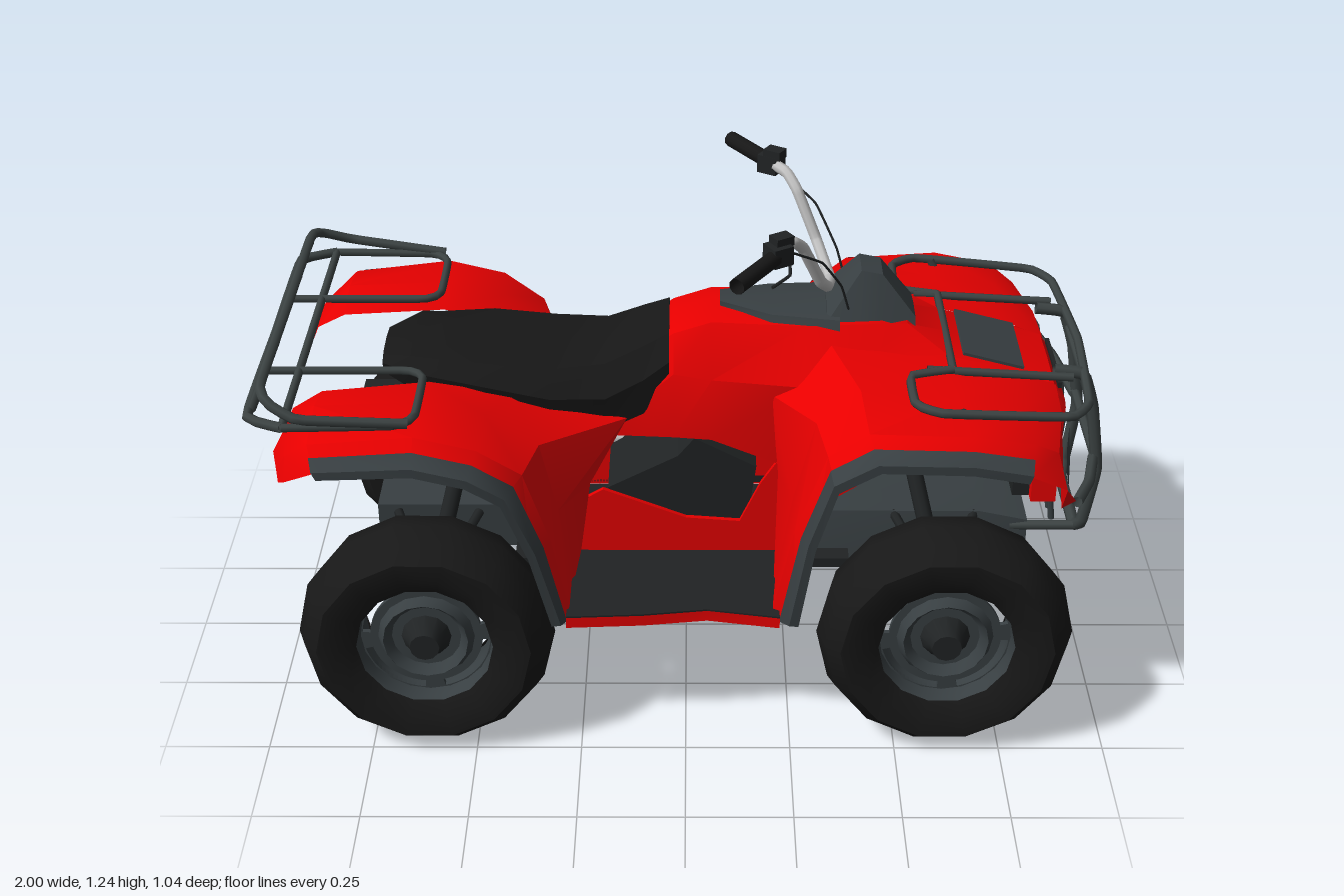
import * as THREE from 'three';
import { toCreasedNormals } from 'three/addons/utils/BufferGeometryUtils.js';

const mat = (name, color) => new THREE.MeshStandardMaterial({ name, color, side: THREE.DoubleSide });

export function createModel() {
  const red = mat('red plastic', 0xff0000), tyreMat = mat('tyre rubber', 0x181818);
  const black = mat('seat black', 0x171717), grey = mat('dark grey plastic', 0x383f42);
  const steel = mat('rack grey', 0x3c4343), silver = mat('handlebar silver', 0xc2c2c2);
  const dark = mat('chassis dark', 0x202324);
  const model = new THREE.Group();
  model.name = 'quadBike';

  const add = (name, geo, m, parent = model) => {
    const mesh = new THREE.Mesh(geo, m);
    mesh.name = name;
    parent.add(mesh);
    return mesh;
  };
  const box = (name, x0, x1, y0, y1, z0, z1, m, parent) => {
    const b = add(name, new THREE.BoxGeometry(x1 - x0, y1 - y0, z1 - z0), m, parent);
    b.position.set((x0 + x1) / 2, (y0 + y1) / 2, (z0 + z1) / 2);
    return b;
  };
  const tube = (name, pts, r, m, parent, sides = 7) => {
    const v = pts.map(p => new THREE.Vector3(...p));
    const curve = v.length > 2 ? new THREE.CatmullRomCurve3(v, false, 'catmullrom', 0.15) : new THREE.LineCurve3(...v);
    return add(name, new THREE.TubeGeometry(curve, v.length > 2 ? v.length * 6 : 1, r, sides), m, parent);
  };
  // Half path ending on the centre line, continued on the other side
  const flip = p => [p[0], p[1], -p[2]];
  const hoop = (name, pts, r, m) => tube(name, [...pts, ...pts.slice().reverse().filter(p => p[2]).map(flip)], r, m);
  const polygon = pts => new THREE.Shape(pts.map(p => new THREE.Vector2(...p)));
  const slab = (shape, depth) => new THREE.ExtrudeGeometry(shape, { depth, bevelEnabled: false, curveSegments: 8 });

  // Skin over cross-sections, optionally as a closed, capped hull
  const loft = (rings, closed) => {
    const n = rings[0].length, idx = [], w = closed ? n : n - 1;
    for (let i = 0; i < rings.length - 1; i++) for (let j = 0; j < w; j++) {
      const a = i * n + j, b = i * n + (j + 1) % n;
      idx.push(a, b, a + n, b, b + n, a + n);
    }
    if (closed) for (let j = 1; j < n - 1; j++) {
      const e = (rings.length - 1) * n;
      idx.push(0, j + 1, j, e, e + j, e + j + 1);
    }
    const g = new THREE.BufferGeometry();
    g.setAttribute('position', new THREE.Float32BufferAttribute(rings.flat(2), 3));
    g.setIndex(idx);
    return toCreasedNormals(g, 0.55);
  };
  // Symmetric hull: each section is [x, [z, y], ...] from the top centre down to the bottom edge
  const hull = secs => loft(secs.map(([x, ...half]) => [
    ...half.map(([z, y]) => [x, y, z]),
    ...half.slice(1).reverse().map(([z, y]) => [x, y, -z])]), true);

  // Central body and seat
  add('centreBody', hull([
    [-.25, [0, .74], [.09, .73], [.15, .71], [.15, .67]],
    [-.1, [0, .87], [.09, .86], [.15, .77], [.16, .67]],
    [-.03, [0, .927], [.09, .91], [.145, .83], [.165, .67]],
    [.06, [0, .96], [.09, .94], [.155, .82], [.16, .66]],
    [.28, [0, .955], [.1, .935], [.19, .82], [.18, .58]],
    [.4, [0, .955], [.1, .94], [.165, .85], [.17, .6]],
    [.52, [0, .945], [.085, .935], [.15, .86], [.16, .74]],
    [.62, [0, .87], [.12, .865], [.15, .85], [.15, .79]],
    [.78, [0, .83], [.12, .825], [.14, .82], [.14, .76]],
    [.87, [0, .8], [.12, .795], [.14, .78], [.14, .59]],
    [.9, [0, .75], [.12, .75], [.14, .74], [.12, .56]]]), red);
  add('seat', hull([
    [-.72, [0, .85], [.06, .845], [.09, .83], [.08, .8]],
    [-.65, [0, .87], [.11, .86], [.155, .84], [.14, .79]],
    [-.47, [0, .86], [.14, .855], [.19, .82], [.18, .77]],
    [-.32, [0, .845], [.14, .84], [.195, .79], [.18, .71]],
    [-.19, [0, .85], [.12, .845], [.175, .78], [.165, .69]],
    [-.1, [0, .895], [.105, .885], [.155, .82], [.155, .73]],
    [-.04, [0, .925], [.09, .912], [.14, .86], [.14, .82]]]), black);

  // Dash and steering pod
  add('dashPanel', hull([
    [.08, [0, .968], [.03, .965], [.03, .94]],
    [.2, [0, .968], [.08, .955], [.09, .935]],
    [.36, [0, .968], [.1, .95], [.11, .925]]]), grey);
  add('steeringPod', hull([
    [.33, [0, .975], [.06, .97], [.09, .94]],
    [.41, [0, 1.055], [.045, 1.053], [.095, .945]],
    [.46, [0, 1.045], [.045, 1.043], [.09, .945]],
    [.54, [0, .945], [.06, .94], [.08, .915]]]), grey);
  const hoodPlate = box('hoodPlate', .65, .8, .845, .852, -.11, .11, grey);
  hoodPlate.rotation.z = -.26;

  // Fenders: each section runs inner edge, crown, shoulder, outer lip
  const frontFender = [
    [[.22, .33, .18], [.21, .33, .3], [.2, .33, .42], [.25, .33, .45]],
    [[.22, .58, .18], [.25, .58, .3], [.25, .58, .43], [.285, .57, .48]],
    [[.2, .79, .17], [.3, .79, .3], [.32, .78, .43], [.335, .74, .495]],
    [[.34, .9, .13], [.4, .865, .28], [.41, .845, .44], [.43, .8, .505]],
    [[.6, .87, .12], [.62, .86, .3], [.64, .85, .46], [.64, .795, .505]],
    [[.78, .83, .12], [.78, .835, .3], [.78, .825, .45], [.77, .77, .5]],
    [[.875, .79, .12], [.87, .79, .25], [.84, .785, .42], [.86, .71, .46]],
    [[.9, .59, .12], [.89, .61, .25], [.86, .63, .41], [.885, .67, .44]]];
  const rearFender = [
    [[-.26, .33, .18], [-.27, .33, .3], [-.27, .33, .42], [-.3, .33, .45]],
    [[-.23, .55, .18], [-.3, .55, .3], [-.31, .55, .43], [-.35, .54, .47]],
    [[-.14, .72, .16], [-.34, .73, .3], [-.37, .73, .43], [-.41, .7, .49]],
    [[-.4, .79, .17], [-.46, .81, .3], [-.47, .8, .44], [-.49, .755, .5]],
    [[-.6, .83, .18], [-.6, .845, .3], [-.61, .835, .44], [-.61, .785, .5]],
    [[-.85, .81, .19], [-.85, .835, .3], [-.85, .81, .43], [-.83, .77, .49]],
    [[-.92, .77, .2], [-.92, .78, .3], [-.91, .76, .4], [-.91, .71, .43]],
    [[-.95, .7, .2], [-.96, .7, .28], [-.94, .7, .36], [-.93, .69, .4]]];

  // One side of the bike, mirrored for the other
  const side = new THREE.Group();
  side.name = 'leftSide';
  // Trim strip over the outer part of each fender, with a small lip around the edge
  const trim = (f, cx) => loft(f.slice(0, 6).map(([, , c, d]) => {
    const out = new THREE.Vector2(d[0] - cx, d[1] - .29).normalize();
    const at = (t, up, dz) => [c[0] + (d[0] - c[0]) * t + out.x * up, c[1] + (d[1] - c[1]) * t + out.y * up, c[2] + (d[2] - c[2]) * t + dz];
    return [at(.5, .006, .004), at(1, .008, .008), at(1, -.014, .008)];
  }));
  for (const [name, f, cx] of [['frontFender', frontFender, .61], ['rearFender', rearFender, -.61]]) {
    add(name, loft(f), red, side);
    add(name + 'Trim', trim(f, cx), grey, side);
  }

  // Footwell, narrowing at the middle
  const board = [[-.28, .455], [-.1, .445], [.05, .425], [.22, .455]];
  const floor = add('footBoard', slab(polygon([[-.28, .165], ...board, [.22, .165]]), .02), dark, side);
  floor.rotation.x = Math.PI / 2;
  floor.position.y = .355;
  add('footwellEdge', loft(board.map(([x, z]) => [[x, .353, z + .003], [x, .325, z + .003], [x, .325, z - .03]])), red, side);
  const wall = polygon([[-.27, .33], [.22, .33], [.29, .46], [.41, .54], [.38, .63], [.25, .66], [.18, .55], [.13, .44], [0, .45], [-.2, .53], [-.25, .5]]);
  add('footwellWall', slab(wall, .012), red, side).position.z = .165;
  box('rearInnerPanel', -.5, -.27, .49, .54, .11, .13, red, side);
  box('noseFlap', .83, .89, .5, .6, .15, .18, red, side);

  // Headlight plate lying on the nose
  const lamp = [[.245, .66], [.25, .75], [.38, .765], [.4, .72], [.36, .655]]
    .map(([z, y]) => new THREE.Vector3(.886 + (.79 - y) * .12 - Math.max(0, z - .25) * .19, y, z));
  const lampGeo = new THREE.BufferGeometry().setFromPoints(lamp);
  lampGeo.setIndex([0, 2, 1, 0, 3, 2, 0, 4, 3]);
  lampGeo.computeVertexNormals();
  add('headlight', lampGeo, grey, side);

  // Wheels
  const tyreProfile = [[.16, -.075], [.2, -.098], [.25, -.1], [.284, -.06], [.302, .01], [.284, .06], [.25, .1], [.2, .098], [.16, .075]];
  const lathe = (pts, seg) => toCreasedNormals(
    new THREE.LatheGeometry(pts.map(p => new THREE.Vector2(...p)), seg).rotateX(Math.PI / 2).rotateZ(Math.PI / 2), .75);
  const disc = new THREE.Shape().absarc(0, 0, .16, 0, Math.PI * 2);
  for (let i = 0; i < 4; i++) {
    const a = i * Math.PI / 2 + .25, b = a + 1.25;
    const hole = new THREE.Path().absarc(0, 0, .15, a, b, false);
    hole.absarc(0, 0, .132, b, a, true);
    disc.holes.push(hole);
  }
  for (const x of [.61, -.61]) {
    const s = Math.sign(x), wheel = new THREE.Group();
    wheel.name = x > 0 ? 'frontWheel' : 'rearWheel';
    wheel.position.set(x, .296, .418);
    add('tyre', lathe(tyreProfile, 14), tyreMat, wheel);
    add('rimBarrel', lathe([[.172, -.08], [.157, -.06], [.152, 0], [.157, .06], [.172, .08]], 20), grey, wheel);
    add('rimDisc', slab(disc, .012), grey, wheel).position.z = .02;
    add('rimRing', lathe([[.08, .03], [.1, .055], [.115, .03]], 16), grey, wheel);
    add('hub', lathe([[.06, -.1], [.06, .03], [.04, .06], [.035, .08], [0, .08]], 12), dark, wheel);
    side.add(wheel);

    // Suspension arms, axle and shock
    for (const d of [-.1, .1]) {
      tube('lowerArm', [[x + d, .33, .09], [x, .24, .33]], .014, dark, side);
      tube('upperArm', [[x + d, .41, .09], [x, .33, .33]], .012, dark, side);
    }
    tube('axle', [[x, .32, .05], [x, .294, .36]], .018, dark, side);
    tube('shock', [[x - s * .07, .6, .13], [x, .33, .26]], .02, dark, side, 10);
    add('shockMount', slab(polygon([[x - .16, .6], [x - .12, .645], [x + .1, .65], [x + .17, .62], [x + .1, .6]]), .1), grey, side).position.z = .06;
    tube('frameRail', [[x - s * .32, .33, .08], [x - s * .24, .57, .1], [x, .62, .1]], .014, dark, side);
  }

  // Handlebar half with grip, controls and cable
  tube('handlebar', [[.34, 1.01, 0], [.33, 1.02, .06], [.31, 1.06, .115], [.265, 1.165, .155], [.24, 1.197, .19], [.19, 1.197, .27]], .014, silver, side, 8);
  tube('grip', [[.2, 1.195, .26], [.11, 1.193, .4]], .019, black, side, 10);
  box('switchBox', .18, .23, 1.175, 1.22, .225, .275, dark, side).rotation.y = .55;
  box('reservoir', .19, .235, 1.215, 1.237, .22, .255, dark, side).rotation.y = .55;
  tube('brakeLever', [[.23, 1.18, .23], [.23, 1.165, .29], [.19, 1.16, .34]], .004, dark, side, 5);
  tube('cable', [[.24, 1.18, .21], [.31, 1.13, .16], [.36, 1.04, .1], [.38, .97, .08]], .003, dark, side, 5);

  // Rack and bumper pieces on one side
  tube('frontRackRail', [[.56, .87, .19], [.9, .85, .19]], .01, steel, side);
  tube('bumperBrace', [[.975, .61, .15], [.94, .635, .3], [.89, .66, .43]], .013, steel, side);
  tube('bumperFoot', [[.955, .4, .13], [.8, .38, .1]], .012, steel, side);
  tube('rearRackLoop', [[-.98, .86, .18], [-.65, .86, .18], [-.61, .86, .21], [-.61, .86, .39], [-.65, .86, .43], [-.9, .86, .44]], .01, steel, side);
  for (const z of [.17, .36]) tube('rearRackPost', [[-.95, .93, z], [-.98, .86, z]], .01, steel, side);
  tube('frontRackPost', [[.62, .87, .38], [.64, .83, .38]], .01, steel, side);

  const other = side.clone();
  other.name = 'rightSide';
  other.scale.z = -1;
  model.add(side, other);

  // Racks and bumper across the middle
  hoop('frontRack', [[.62, .87, .19], [.52, .87, .22], [.52, .87, .35], [.58, .87, .39], [.87, .85, .37], [.92, .848, .3], [.94, .846, 0]], .011, steel);
  hoop('frontRackBar', [[.62, .87, .19], [.62, .87, 0]], .01, steel);
  hoop('rearRackHoop', [[-.62, .865, .43], [-.86, .89, .455], [-.93, .92, .43], [-.95, .935, .38], [-.95, .935, 0]], .012, steel);
  hoop('rearRackEnd', [[-.9, .86, .44], [-.985, .86, .39], [-.985, .86, 0]], .012, steel);
  hoop('rearRackBar', [[-.9, .86, .44], [-.9, .86, 0]], .01, steel);
  hoop('bumper', [[.86, .85, .155], [.93, .84, .155], [.96, .75, .155], [.985, .58, .155], [.965, .42, .145], [.955, .39, .11], [.955, .39, 0]], .015, steel);
  for (const [x, y] of [[.945, .8], [.978, .615]]) hoop('bumperBar', [[x, y, .155], [x, y, 0]], .012, steel);

  // Nose grille
  add('grille', slab(polygon([[-.125, .71], [.125, .71], [.105, .64], [-.105, .64]]), .009).rotateY(Math.PI / 2), grey).position.x = .898;
  box('hoodSlot', .882, .891, .775, .79, -.11, .11, dark);
  add('grilleBadge', new THREE.CylinderGeometry(.026, .026, .012, 12).rotateZ(Math.PI / 2), dark).position.set(.91, .7, 0);

  // Chassis, engine and running gear
  box('skidPlate', -.42, .4, .3, .325, -.17, .17, dark);
  add('frontChassis', hull([
    [.3, [0, .42], [.1, .42], [.13, .3]], [.72, [0, .42], [.1, .42], [.11, .285]], [.84, [0, .4], [.11, .4], [.11, .33]]]), grey);
  box('rearChassis', -.76, -.38, .31, .43, -.09, .09, grey);
  add('engine', slab(polygon([[-.19, .5], [-.02, .59], [.02, .64], [.17, .56], [.14, .33], [-.2, .33]]), .24), dark).position.z = -.12;
  box('winch', .8, .86, .46, .56, -.09, .09, dark);
  for (const z of [-.1, -.05, .05, .1]) tube('winchPost', [[.9, .4, z], [.88, .56, z]], .008, grey);
  box('rearTray', -.8, -.48, .625, .66, -.13, .13, dark);
  box('seatSupport', -.66, -.56, .65, .82, -.08, .08, dark);
  tube('muffler', [[-.66, .53, -.06], [-.4, .53, -.06]], .04, grey, model, 12);
  tube('exhaustPipe', [[-.48, .555, -.12], [-.38, .545, -.13], [-.3, .52, -.1], [-.1, .5, -.1]], .016, silver);
  return model;
}
